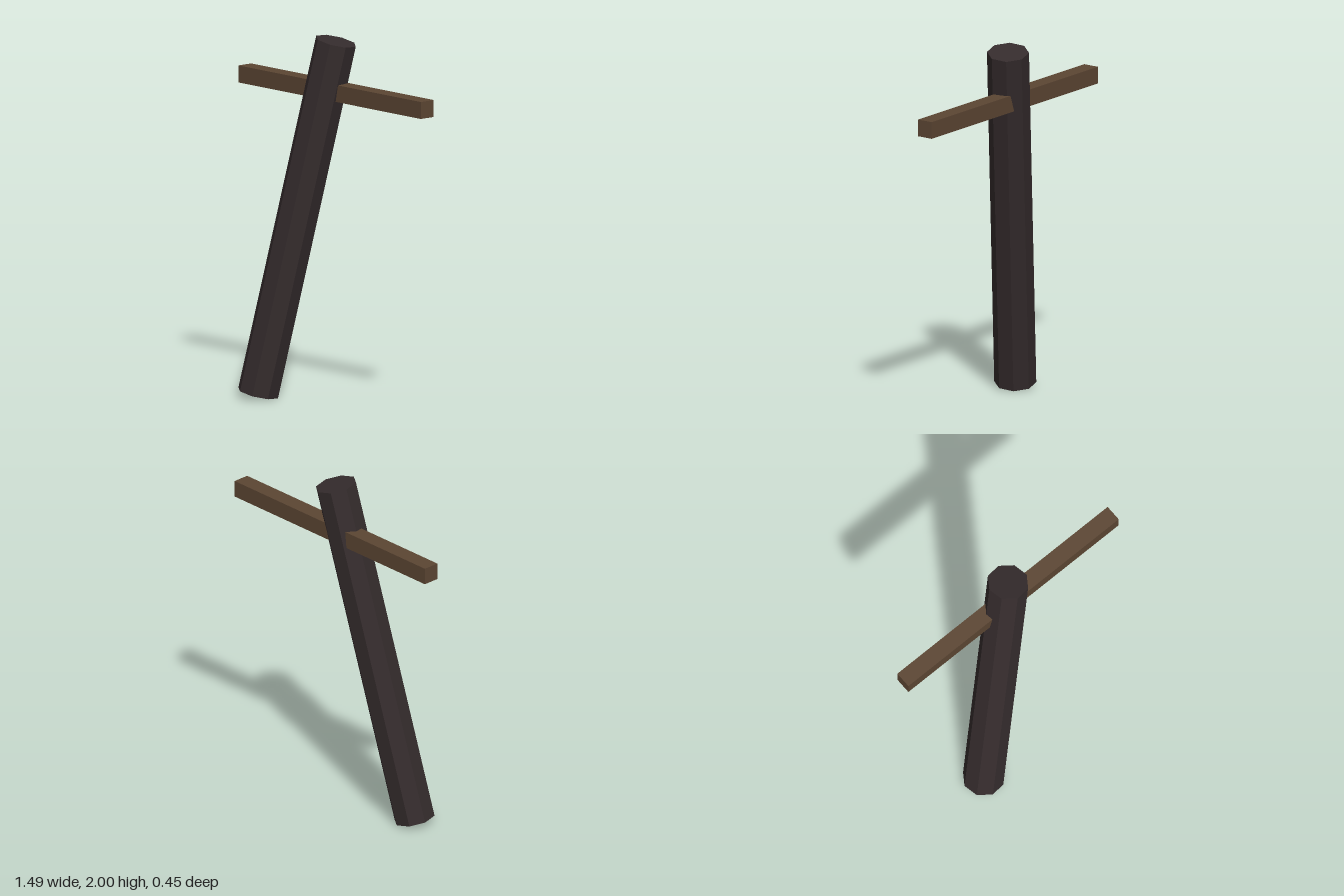
import * as THREE from 'three';

export function createModel() {
  const model = new THREE.Group();
  const darkWood = new THREE.MeshStandardMaterial({ name: 'dark wood', color: 0x352c2d, flatShading: true });
  const brownWood = new THREE.MeshStandardMaterial({ name: 'brown wood', color: 0x5c4633, flatShading: true });

  // Leaning eight-sided post, placed between the centres of its two ends
  const bottom = new THREE.Vector3(-0.371, 0.025, 0.115);
  const top = new THREE.Vector3(0, 1.975, -0.117);
  const axis = top.clone().sub(bottom);
  const roll = THREE.MathUtils.degToRad(32);
  const post = new THREE.Mesh(
    new THREE.CylinderGeometry(0.114, 0.114, axis.length(), 8, 1, false, roll), darkWood);
  post.name = 'post';
  post.position.copy(bottom).add(top).multiplyScalar(0.5);
  post.quaternion.setFromUnitVectors(new THREE.Vector3(0, 1, 0), axis.normalize());
  model.add(post);

  // Level crossbar passing through the post near its top
  const crossbar = new THREE.Mesh(new THREE.BoxGeometry(1.485, 0.093, 0.093), brownWood);
  crossbar.name = 'crossbar';
  crossbar.position.set(0, 1.701, -0.117);
  model.add(crossbar);

  return model;
}
